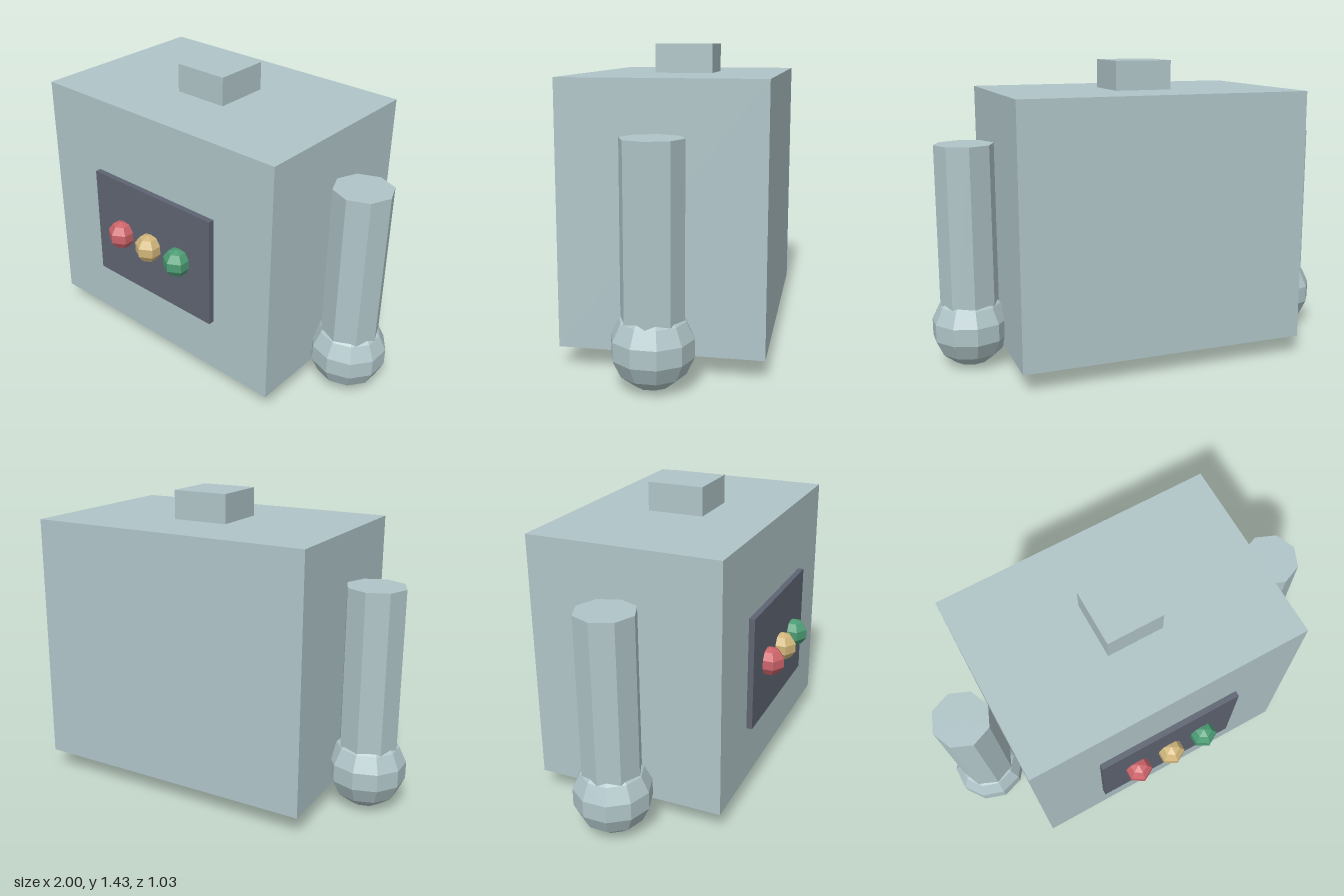
import * as THREE from 'three';

function material(name, color) {
  const m = new THREE.MeshStandardMaterial({ color, flatShading: true });
  m.name = name;
  return m;
}

export function createModel() {
  const model = new THREE.Group();
  model.name = 'boxRobot';

  const shell = material('paleBlueGrey', 0xb0c5c8);
  const slate = material('slate', 0x5e6472);
  const red = material('red', 0xcc646a);
  const yellow = material('yellow', 0xd0b57a);
  const green = material('green', 0x4c9c74);

  function add(name, geometry, mat, x, y, z, parent = model) {
    const mesh = new THREE.Mesh(geometry, mat);
    mesh.name = name;
    mesh.position.set(x, y, z);
    parent.add(mesh);
    return mesh;
  }

  // Low-poly ball with a corner facing the front
  const ball = (radius, sides, rows) =>
    new THREE.SphereGeometry(radius, sides, rows).rotateY(Math.PI / 2);

  // Body and the small block on top
  const midZ = -0.058;
  add('body', new THREE.BoxGeometry(1.375, 1.195, 0.92), shell, 0, 0.695, midZ);
  add('topBlock', new THREE.BoxGeometry(0.275, 0.138, 0.275), shell, 0, 1.361, midZ);

  // Chest panel with three lamps
  add('chestPanel', new THREE.BoxGeometry(0.735, 0.552, 0.028), slate, 0, 0.648, 0.416);
  [['redLamp', red, -0.184], ['yellowLamp', yellow, 0], ['greenLamp', green, 0.184]]
    .forEach(([name, mat, x]) => add(name, ball(0.07, 6, 5), mat, x, 0.648, 0.448));

  // Arms: eight-sided post ending in a faceted hand
  for (const [side, sign] of [['left', 1], ['right', -1]]) {
    const arm = new THREE.Group();
    arm.name = side + 'Arm';
    arm.position.set(sign * 0.828, 0, midZ);
    add(side + 'Post', new THREE.CylinderGeometry(0.138, 0.138, 0.92, 8), shell, 0, 0.601, 0, arm);
    add(side + 'Hand', ball(0.184, 10, 7), shell, 0, 0.187, 0, arm);
    model.add(arm);
  }

  return model;
}
